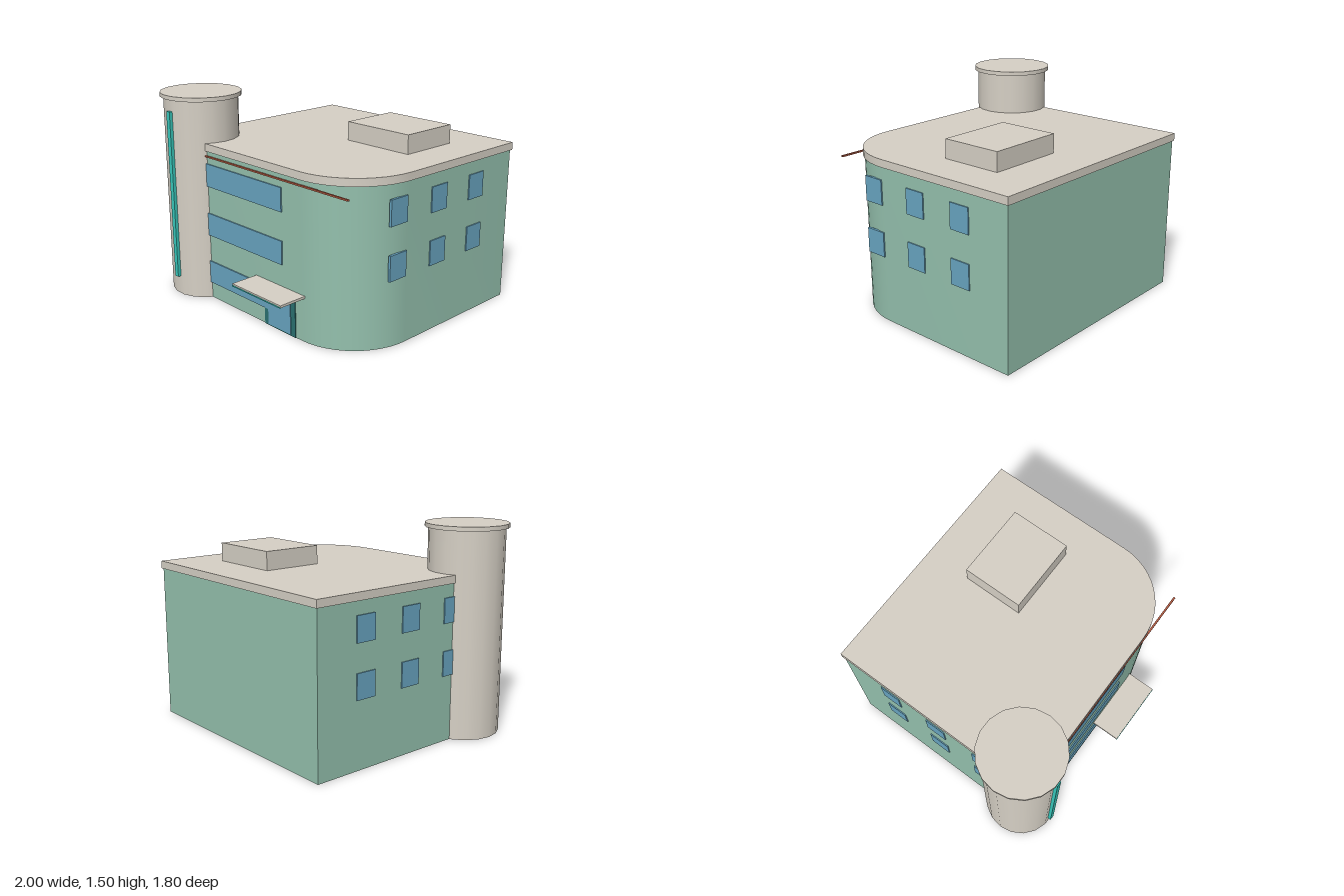
import * as THREE from 'three';
import { toCreasedNormals } from 'three/addons/utils/BufferGeometryUtils.js';

const mat = (color) => new THREE.MeshStandardMaterial({ color });

export function createModel() {
  const model = new THREE.Group();
  const green = mat(0x94c0ad), cream = mat(0xd6d0c5), glass = mat(0x68a4c0);
  const teal = mat(0x38c8bc), darkTeal = mat(0x2a7070), red = mat(0xb05a42);

  const add = (name, geometry, material, parent = model) => {
    const mesh = new THREE.Mesh(geometry, material);
    mesh.name = name;
    parent.add(mesh);
    return mesh;
  };

  // Box given by its extents on each axis
  const box = (name, [x0, x1], [y0, y1], [z0, z1], material, parent) => {
    const g = new THREE.BoxGeometry(x1 - x0, y1 - y0, z1 - z0);
    g.translate((x0 + x1) / 2, (y0 + y1) / 2, (z0 + z1) / 2);
    return add(name, g, material, parent);
  };

  // Floor plan with one rounded front corner, extruded between two heights
  const slab = (name, x0, x1, z0, z1, y0, y1, material) => {
    const cx = 0.505, cz = 0.2;
    const s = new THREE.Shape();
    s.moveTo(x0, z0);
    s.lineTo(x1, z0);
    s.lineTo(x1, cz);
    s.absellipse(cx, cz, x1 - cx, z1 - cz, 0, Math.PI / 2, false);
    s.lineTo(x0, z1);
    s.closePath();
    const g = new THREE.ExtrudeGeometry(s, { depth: y1 - y0, bevelEnabled: false, curveSegments: 6 });
    g.rotateX(Math.PI / 2);
    g.translate(0, y1, 0);
    return add(name, toCreasedNormals(g, 0.6), material);
  };

  // Main building and roof
  slab('walls', -0.815, 0.985, -0.89, 0.685, 0, 1.12, green);
  slab('roofSlab', -0.825, 0.997, -0.9, 0.695, 1.12, 1.175, cream);
  box('roofPlantRoom', [0.142, 0.705], [1.175, 1.31], [-0.555, -0.105], cream);

  // Round stair tower
  const drum = (name, r, y0, y1) => {
    const g = new THREE.CylinderGeometry(r, r, y1 - y0, 18);
    g.rotateY(Math.PI / 2);
    g.translate(-0.705, (y0 + y1) / 2, 0.55);
    return add(name, g, cream);
  };
  drum('stairTower', 0.27, 0, 1.475);
  drum('towerCap', 0.295, 1.475, 1.505);
  box('towerLightStrip', [-0.725, -0.687], [0.14, 1.39], [0.8, 0.84], teal);

  // Ribbon windows on the front
  const windows = new THREE.Group();
  windows.name = 'windows';
  model.add(windows);
  for (const y of [0.12, 0.49, 0.86])
    box('ribbonWindow', [-0.5, 0.32], [y, y + 0.168], [0.675, 0.694], glass, windows);

  // Square windows on both side walls
  for (const [x0, x1] of [[0.975, 0.993], [-0.823, -0.805]])
    for (const y of [0.477, 0.85])
      for (const z of [0.215, -0.18, -0.575])
        box('sideWindow', [x0, x1], [y, y + 0.178], [z, z + 0.156], glass, windows);

  // Entrance with canopy
  box('doorFrame', [0.132, 0.445], [0, 0.29], [0.67, 0.69], darkTeal);
  box('door', [0.172, 0.4], [0.01, 0.245], [0.675, 0.6945], glass);
  box('canopy', [0.042, 0.535], [0.315, 0.332], [0.68, 0.897], cream);
  box('canopyTrim', [0.042, 0.535], [0.313, 0.321], [0.89, 0.9], teal);

  // Coloured line under the eaves
  box('eavesStripe', [-0.5, 0.93], [1.077, 1.088], [0.683, 0.697], red);

  return model;
}
